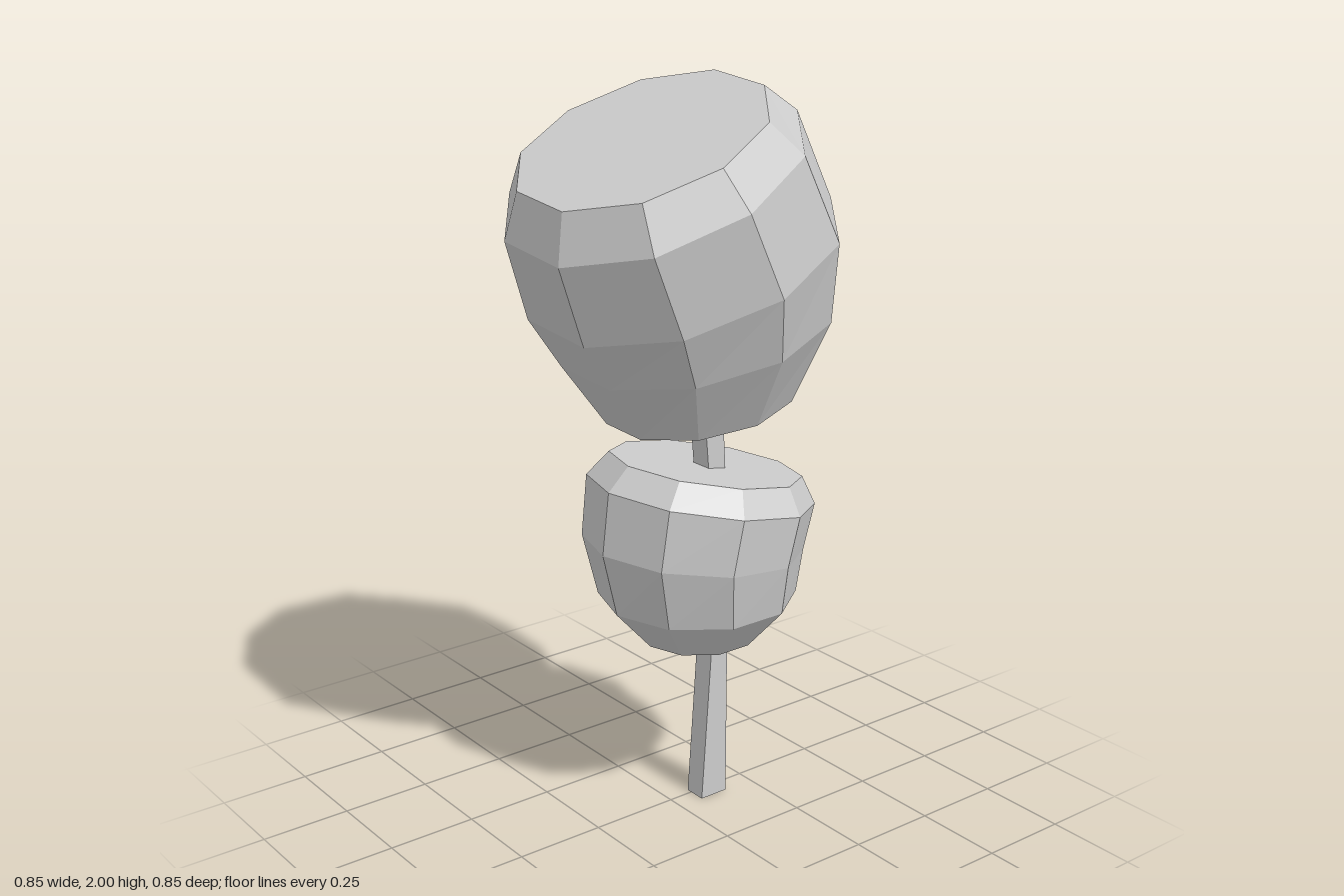
import * as THREE from 'three';

// Low-poly loft through tilted rings, capped at both ends.
// Ring: centre x, y, z, radius r (rz along z), slopes sx and sz of its plane.
function loft(name, sides, phase, rings) {
  const pos = [];
  const index = [];
  for (const { x, y, z = 0, r, rz = r, sx = 0, sz = 0 } of rings) {
    const squash = 1 / Math.hypot(1, sx);
    for (let j = 0; j < sides; j++) {
      const a = phase + (j / sides) * Math.PI * 2;
      const dx = Math.cos(a) * r * squash;
      const dz = Math.sin(a) * rz;
      pos.push(x + dx, y + sx * dx + sz * dz, z + dz);
    }
  }
  const last = (rings.length - 1) * sides;
  for (let i = 0; i < last; i += sides) {
    for (let j = 0; j < sides; j++) {
      const k = (j + 1) % sides;
      index.push(i + j, i + sides + j, i + k);
      index.push(i + k, i + sides + j, i + sides + k);
    }
  }
  for (let j = 1; j < sides - 1; j++) {
    index.push(0, j, j + 1);
    index.push(last, last + j + 1, last + j);
  }
  const indexed = new THREE.BufferGeometry();
  indexed.setAttribute('position', new THREE.Float32BufferAttribute(pos, 3));
  indexed.setIndex(index);
  const geometry = indexed.toNonIndexed();
  geometry.computeVertexNormals();
  const material = new THREE.MeshStandardMaterial({ color: 0xcccccc, flatShading: true });
  const mesh = new THREE.Mesh(geometry, material);
  mesh.name = name;
  return mesh;
}

export function createModel() {
  const group = new THREE.Group();
  group.name = 'tree';

  // Thin square trunk with a slight bend
  const trunk = [
    [0.116, 0, 0.043],
    [0.133, 0.49, 0.026],
    [0.118, 0.97, 0.028],
    [0.104, 1.16, 0.031],
    [0.09, 1.3, 0.031],
  ].map(([x, y, half]) => ({ x, y, z: 0.016, r: half * Math.SQRT2, rz: 0.032 * Math.SQRT2 }));
  group.add(loft('trunk', 4, Math.PI / 4, trunk));

  // Small lower clump of leaves, its top leaning to the left
  group.add(loft('lowerFoliage', 10, 0, [
    { x: 0.093, y: 0.49, r: 0.163 },
    { x: 0.09, y: 0.61, r: 0.27 },
    { x: 0.075, y: 0.76, r: 0.3, sx: -0.1 },
    { x: 0.102, y: 0.905, r: 0.31, sx: -0.178 },
    { x: 0.118, y: 0.973, r: 0.262, sx: -0.18 },
  ]));

  // Large upper clump, tilting more towards its top
  group.add(loft('upperFoliage', 10, THREE.MathUtils.degToRad(21), [
    { x: 0.093, y: 1.153, r: 0.255, sx: 0.175 },
    { x: 0.08, y: 1.357, r: 0.367, sx: 0.25, sz: -0.02 },
    { x: 0.033, y: 1.545, r: 0.425, sx: 0.38, sz: -0.04 },
    { x: -0.07, y: 1.77, z: 0.015, r: 0.405, sx: 0.45, sz: -0.06 },
    { x: -0.11, y: 1.867, z: 0.025, r: 0.336, sx: 0.43, sz: -0.06 },
  ]));

  return group;
}
